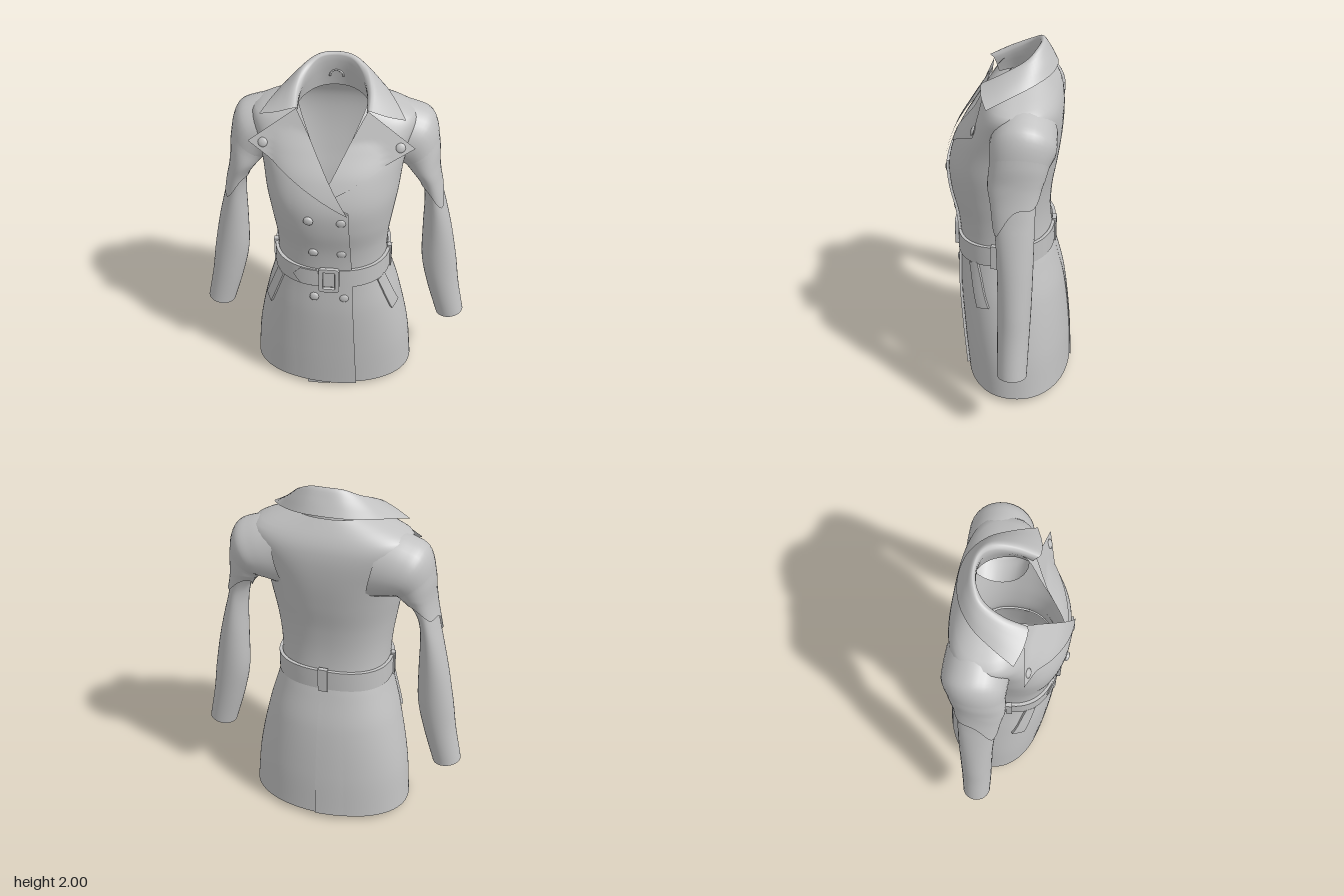
import * as THREE from 'three';
import { toCreasedNormals } from 'three/addons/utils/BufferGeometryUtils.js';

const V = (x, y, z) => new THREE.Vector3(x, y, z);
const lerp = THREE.MathUtils.lerp;

// Torso cross-sections: height, half width, front z, back z, squareness
const ROWS = [
  [0.03, 0.46, 0.245, -0.348, 2.15], [0.3, 0.435, 0.265, -0.335, 2.2], [0.6, 0.375, 0.28, -0.30, 2.3],
  [0.8, 0.32, 0.275, -0.25, 2.4], [0.9, 0.30, 0.275, -0.225, 2.4], [1.05, 0.305, 0.29, -0.215, 2.4],
  [1.2, 0.325, 0.322, -0.225, 2.4], [1.35, 0.35, 0.328, -0.25, 2.4], [1.5, 0.37, 0.28, -0.27, 2.5],
  [1.62, 0.40, 0.205, -0.275, 2.7], [1.70, 0.425, 0.15, -0.265, 2.8], [1.75, 0.41, 0.12, -0.245, 2.7],
  [1.79, 0.33, 0.10, -0.22, 2.5], [1.84, 0.20, 0.08, -0.185, 2.3],
];

// Smooth interpolation of the cross-sections
function section(y) {
  let i = 0;
  while (i < ROWS.length - 2 && y > ROWS[i + 1][0]) i++;
  const a = ROWS[i], b = ROWS[i + 1], h = b[0] - a[0];
  const t = THREE.MathUtils.clamp((y - a[0]) / h, 0, 1);
  const slope = (j, k) => {
    const p = ROWS[Math.max(j - 1, 0)], q = ROWS[Math.min(j + 1, ROWS.length - 1)];
    return (q[k] - p[k]) / (q[0] - p[0]);
  };
  const [w, zf, zb, n] = [1, 2, 3, 4].map((k) =>
    (2 * t ** 3 - 3 * t * t + 1) * a[k] + (t ** 3 - 2 * t * t + t) * h * slope(i, k) +
    (3 * t * t - 2 * t ** 3) * b[k] + (t ** 3 - t * t) * h * slope(i + 1, k));
  return { w, c: (zf + zb) / 2, d: (zf - zb) / 2, n };
}

// Point on the torso; angle 0 is the front, off moves outwards
function torso(angle, y, off = 0) {
  const { w, c, d, n } = section(y);
  const p = (v) => Math.sign(v) * Math.abs(v) ** (2 / n);
  return V((w + off) * p(Math.sin(angle)), y, c + (d + off) * p(Math.cos(angle)));
}
function angleAt(x, y) {
  const { w, n } = section(y);
  return Math.sign(x) * Math.asin(Math.min(Math.abs(x) / w, 1) ** (n / 2));
}
const onFront = (x, y, off) => torso(angleAt(x, y), y, off);

// Grid surface from a rule f(u, v); wrap closes it along u
function sheet(nu, nv, f, wrap = false) {
  const pos = [], idx = [], cols = wrap ? nu : nu + 1;
  for (let j = 0; j <= nv; j++)
    for (let i = 0; i < cols; i++) pos.push(...f(i / nu, j / nv).toArray());
  for (let j = 0; j < nv; j++)
    for (let i = 0; i < nu; i++) {
      const k = (i + 1) % cols, a = j * cols + i, b = j * cols + k;
      idx.push(a, b, a + cols, b, b + cols, a + cols);
    }
  const g = new THREE.BufferGeometry();
  g.setAttribute('position', new THREE.Float32BufferAttribute(pos, 3));
  g.setIndex(idx);
  g.computeVertexNormals();
  return g;
}

// Raised cloth strip: f(u, v, lift), with edges that turn down to the torso
function relief(nu, nv, f) {
  const g = sheet(nu + 2, nv + 2, (u, v) => {
    const i = Math.round(u * (nu + 2)) - 1, j = Math.round(v * (nv + 2)) - 1;
    const rim = i < 0 || j < 0 || i > nu || j > nv;
    const cl = (k, n) => Math.min(Math.max(k, 0), n) / n;
    return f(cl(i, nu), cl(j, nv), rim ? 0 : 1);
  });
  return toCreasedNormals(g, 0.7);
}

export function createModel() {
  const group = new THREE.Group();
  const cloth = new THREE.MeshStandardMaterial({ color: 0xc2c2c2, side: THREE.DoubleSide });
  cloth.name = 'grey cloth';
  const add = (name, geo) => {
    const m = new THREE.Mesh(geo, cloth);
    m.name = name;
    group.add(m);
    return m;
  };

  // Coat body with the V-shaped neck opening
  add('coatBody', sheet(96, 80, (u, v) => {
    const y = lerp(0.03, 1.84, v);
    const a = angleAt(Math.max(0, (y - 1.45) * 0.46), y);
    return torso(a + u * (2 * Math.PI - 2 * a), y);
  }));

  // Overlapping front panel, the under panel below it and the back vent
  add('frontPanel', relief(12, 50, (u, v, up) => {
    const top = lerp(1.5, 1.34, u), y = lerp(0.03, top, v);
    return onFront(lerp(-0.2, lerp(0.15, 0.10, v), u), y, up * 0.014 * u);
  }));
  add('underPanel', sheet(6, 3, (u, v) => {
    const p = onFront(lerp(-0.135, 0, u), 0.03, -0.006);
    return p.setY(lerp(0.0, 0.06, v) + u * 0.01);
  }));
  add('backVent', relief(8, 24, (u, v, up) => {
    const y = lerp(0.03, 0.8, v);
    return torso(Math.PI + lerp(0.3, -0.03, u), y, up * 0.008 * u * (1 - v));
  }));

  // Domed buttons
  const dome = new THREE.LatheGeometry([[0.025, -0.008], [0.025, 0.003], [0.02, 0.007], [0.012, 0.01], [0, 0.011]]
    .map(([x, y]) => new THREE.Vector2(x, y)), 20);
  dome.rotateX(Math.PI / 2);
  const button = (p, normal) => {
    const b = add('button', dome);
    b.position.copy(p);
    b.quaternion.setFromUnitVectors(V(0, 0, 1), normal.normalize());
  };
  for (const [x, y, lean] of [[-0.1, 1.285, -0.15], [0.065, 1.285, -0.15], [-0.08, 1.05, -0.2],
    [0.065, 1.05, -0.2], [-0.08, 0.73, 0], [0.08, 0.73, 0]])
    button(onFront(x, y, 0.01), V(x, lean, 1));

  // Lapels: flat triangles pushed out wherever the chest is fuller, each with a button
  const lapel = (name, A, B, C, gap) => {
    const flat = (u, v) => A.clone().lerp(C, v).lerp(B.clone().lerp(C, v), u);
    add(name, sheet(20, 24, (u, v) => {
      const p = flat(u, v);
      if (Math.abs(p.x) < section(p.y).w * 0.97) p.z = Math.max(p.z, onFront(p.x, p.y, 0).z + gap);
      return p;
    }));
    const normal = B.clone().sub(A).cross(C.clone().sub(A));
    button(flat(0.84, 0.08), normal.multiplyScalar(Math.sign(normal.z)));
  };
  lapel('rightLapel', V(-0.18, 1.82, 0.11), V(-0.425, 1.64, 0.15), V(0.10, 1.33, 0.343), 0.02);
  lapel('leftLapel', V(0.18, 1.82, 0.11), V(0.425, 1.64, 0.15), V(-0.06, 1.38, 0.31), 0.007);

  // Collar: stand, fold, rounded shoulder of the fold, falling edge
  const strip = (pts) => new THREE.CatmullRomCurve3(
    [...pts.slice(1).reverse().map(([x, y, z]) => V(-x, y, z)), ...pts.map((p) => V(...p))]);
  const collar = [
    [[0, 1.80, -0.18], [0.08, 1.795, -0.165], [0.15, 1.78, -0.11], [0.195, 1.76, 0], [0.19, 1.74, 0.085]],
    [[0, 1.985, -0.148], [0.08, 1.975, -0.132], [0.135, 1.93, -0.085], [0.168, 1.87, 0.01], [0.175, 1.82, 0.11]],
    [[0, 2.0, -0.165], [0.085, 1.992, -0.15], [0.155, 1.952, -0.1], [0.19, 1.895, 0.01], [0.19, 1.832, 0.13]],
    [[0, 1.95, -0.2], [0.1, 1.945, -0.185], [0.195, 1.912, -0.12], [0.25, 1.86, 0], [0.275, 1.802, 0.125]],
    [[0, 1.878, -0.24], [0.13, 1.87, -0.215], [0.24, 1.848, -0.135], [0.315, 1.808, -0.02], [0.37, 1.765, 0.09]],
  ].map(strip);
  add('collar', sheet(48, 16, (u, v) =>
    new THREE.CatmullRomCurve3(collar.map((c) => c.getPoint(u))).getPoint(v)));
  add('hangingLoop', new THREE.TorusGeometry(0.035, 0.005, 6, 16, Math.PI))
    .position.set(0, 1.86, -0.158);

  // Sleeves: centre line, then half width, half depth and tilt
  const centres = new THREE.CatmullRomCurve3([
    V(0.25, 1.59, -0.095), V(0.345, 1.585, -0.095), V(0.415, 1.57, -0.095), V(0.457, 1.50, -0.08),
    V(0.485, 1.42, -0.065), V(0.52, 1.32, -0.065), V(0.545, 1.2, -0.07), V(0.57, 1.0, -0.075),
    V(0.593, 0.78, -0.075), V(0.625, 0.6, -0.072), V(0.677, 0.387, -0.07)]);
  const sizes = new THREE.CatmullRomCurve3([
    V(0.2, 0.165, 1.35), V(0.186, 0.168, 1.15), V(0.168, 0.165, 0.98), V(0.112, 0.145, 0.6),
    V(0.07, 0.128, 0.35), V(0.05, 0.108, 0.15), V(0.056, 0.1, 0.05), V(0.08, 0.093, 0),
    V(0.097, 0.088, 0.05), V(0.09, 0.084, 0.1), V(0.079, 0.078, 0.16)]);
  const sleeve = (s, t, a, off) => {
    const c = centres.getPoint(t), k = sizes.getPoint(t), r = Math.cos(a) * (k.x + off);
    return V(s * (c.x + r * Math.cos(k.z)), c.y + r * Math.sin(k.z), c.z + Math.sin(a) * (k.y + off));
  };
  for (const s of [1, -1]) {
    const side = s > 0 ? 'left' : 'right';
    add(side + 'Sleeve', sheet(32, 54, (u, v) => sleeve(s, v, u * Math.PI * 2, 0), true));
    // Ragged upper layer that ends above the elbow
    add(side + 'UpperSleeve', sheet(36, 14, (u, v) => {
      const a = u * Math.PI * 2;
      const end = 0.5 + 0.08 * Math.cos(a - 1) + 0.03 * Math.cos(3 * a - 3);
      return sleeve(s, lerp(0.28, end, v), a, 0.01 * Math.min(1, v * 2));
    }, true));
    // Slanted pocket welt
    add(side + 'Pocket', relief(4, 12, (u, v, up) => {
      const y = lerp(0.575, 0.82, v) + (u - 0.5) * 0.02;
      return onFront(s * (lerp(0.35, 0.268, v) + (u - 0.5) * 0.03), y, up * 0.012);
    }));
  }

  // Belt, its pointed end and the loops that hold it
  const beltY = (a) => 0.885 - 0.015 * Math.cos(a);
  const BELT = [[-0.058, 0], [-0.058, 0.018], [0.058, 0.018], [0.058, 0]];
  add('belt', toCreasedNormals(sheet(80, 3, (u, v) => {
    const a = u * Math.PI * 2, [dy, off] = BELT[Math.round(v * 3)];
    const p = torso(a, beltY(a), off);
    p.y += dy;
    return p;
  }, true), 0.7));
  add('beltEnd', relief(12, 8, (u, v, up) => {
    const x = lerp(-0.185 + Math.abs(v - 0.5) * 0.08, -0.03, u);
    const p = onFront(x, 0.872, 0.016 + 0.008 * up);
    p.y += (v - 0.5) * 0.108;
    return p;
  }));
  for (const a of [1.47, Math.PI, -1.47])
    add('beltLoop', relief(3, 8, (u, v, up) => {
      const p = torso(a + (u - 0.5) * 0.1, beltY(a), 0.002 + 0.024 * up);
      p.y += (v - 0.5) * 0.14;
      return p;
    }));

  // Buckle frame
  const box = (S, w, h, r) => {
    const s = new S();
    s.moveTo(-w + r, -h).lineTo(w - r, -h).quadraticCurveTo(w, -h, w, -h + r)
      .lineTo(w, h - r).quadraticCurveTo(w, h, w - r, h).lineTo(-w + r, h)
      .quadraticCurveTo(-w, h, -w, h - r).lineTo(-w, -h + r).quadraticCurveTo(-w, -h, -w + r, -h);
    return s;
  };
  const frame = box(THREE.Shape, 0.052, 0.076, 0.015);
  frame.holes.push(box(THREE.Path, 0.036, 0.06, 0.008));
  add('buckle', new THREE.ExtrudeGeometry(frame, {
    depth: 0.014, bevelThickness: 0.004, bevelSize: 0.004, bevelSegments: 2,
  })).position.set(0, 0.868, 0.294);

  return group;
}
